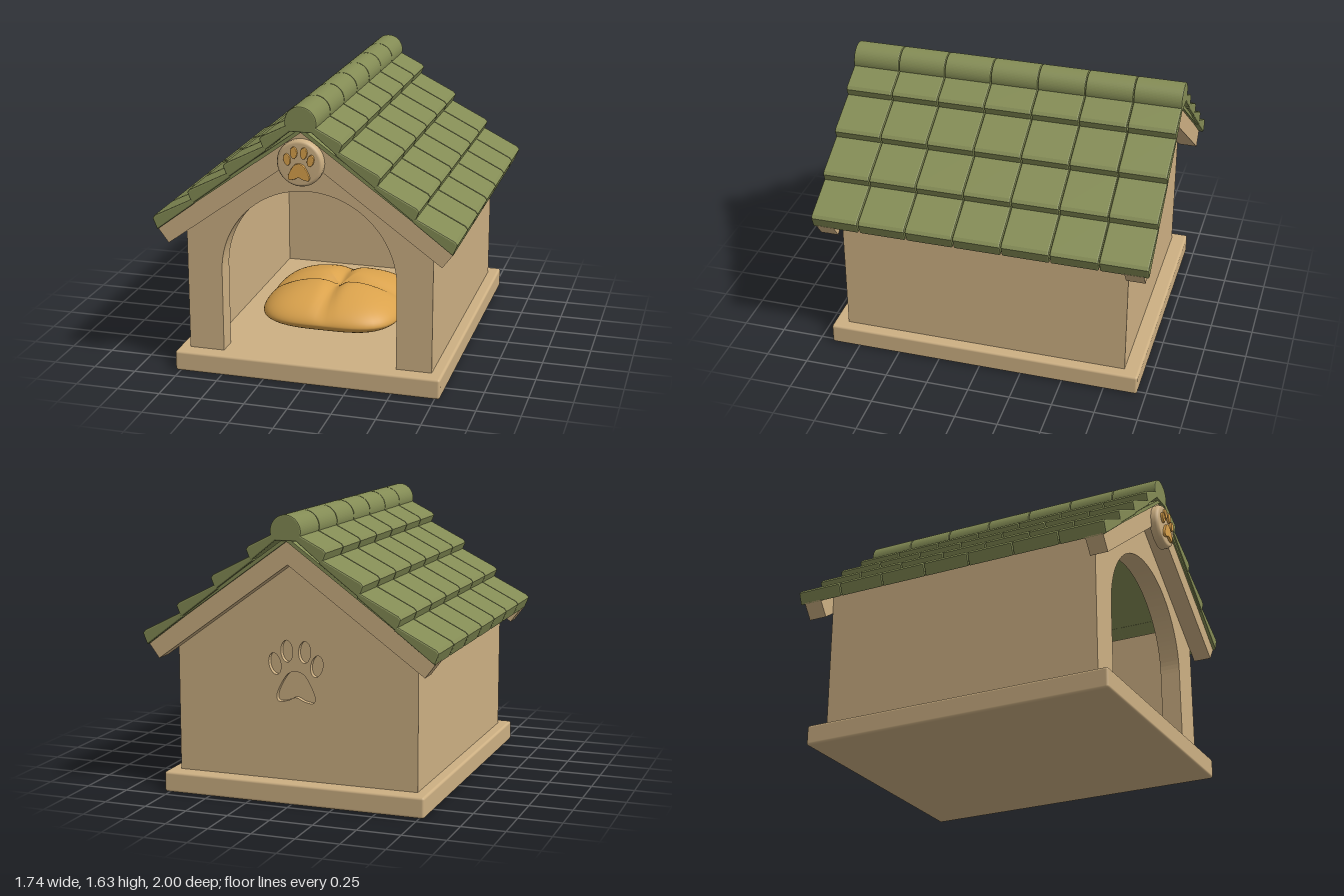
import * as THREE from 'three';
import { mergeVertices } from 'three/addons/utils/BufferGeometryUtils.js';
import { RoundedBoxGeometry } from 'three/addons/geometries/RoundedBoxGeometry.js';

const wood = new THREE.MeshStandardMaterial({ color: 0xcdb083 });
wood.name = 'wood';
const green = new THREE.MeshStandardMaterial({ color: 0x848c55 });
green.name = 'roof green';
const amber = new THREE.MeshStandardMaterial({ color: 0xdaa24c });
amber.name = 'amber';

const SLOPE = 0.725;

function add(parent, name, geometry, material) {
  const mesh = new THREE.Mesh(geometry, material);
  mesh.name = name;
  parent.add(mesh);
  return mesh;
}

function polygon(points) {
  return new THREE.Shape(points.map(([x, y]) => new THREE.Vector2(x, y)));
}

// Extrudes a front profile between two z values, bevelled inside its outline
function slab(shape, z0, z1, bevel = 0, curveSegments = 32) {
  const g = new THREE.ExtrudeGeometry(shape, {
    depth: z1 - z0 - 2 * bevel, curveSegments, bevelEnabled: bevel > 0,
    bevelThickness: bevel, bevelSize: bevel, bevelOffset: -bevel, bevelSegments: 2,
  });
  return g.translate(0, 0, z0 + bevel);
}

// Four toes and a pad, with the pad centre at (cx, cy)
function pawShapes(cx, cy, s) {
  const shapes = [[-0.125, 0.125, 0.2], [-0.053, 0.2, 0.05], [0.053, 0.2, -0.05], [0.125, 0.125, -0.2]]
    .map(([x, y, tilt]) => {
      const toe = new THREE.Shape();
      toe.absellipse(cx + x * s, cy + y * s, 0.036 * s, 0.062 * s, 0, Math.PI * 2, false, tilt);
      return toe;
    });
  const half = [[0.055, 0.065], [0.11, -0.035], [0.105, -0.085], [0.05, -0.08]];
  const loop = [[0, 0.09], ...half, [0, -0.06], ...half.slice().reverse().map(([x, y]) => [-x, y]), [0, 0.09]]
    .map(([x, y]) => new THREE.Vector2(cx + x * s, cy + y * s));
  const pad = new THREE.Shape();
  pad.moveTo(loop[0].x, loop[0].y);
  pad.splineThru(loop.slice(1));
  shapes.push(pad);
  return shapes;
}

function gable() {
  const w = 0.715, top = 1.47;
  return polygon([[-w, 0.12], [w, 0.12], [w, top - SLOPE * w], [0, top], [-w, top - SLOPE * w]]);
}

// Soft square cushion with a creased, tufted top
function cushionGeometry() {
  let g = new THREE.SphereGeometry(1, 72, 48);
  g.deleteAttribute('uv');
  g.deleteAttribute('normal');
  g = mergeVertices(g, 1e-4);
  const p = g.attributes.position;
  for (let i = 0; i < p.count; i++) {
    const x = p.getX(i), y = p.getY(i), z = p.getZ(i);
    const r = Math.hypot(x, z);
    // Superellipse plan; the poles stay on the axis
    const f = r < 1e-5 ? 0 : r / Math.pow(Math.abs(x) ** 3.5 + Math.abs(z) ** 3.5, 1 / 3.5);
    const px = x * f * 0.42, pz = z * f * 0.43;
    let py = Math.sign(y) * Math.pow(Math.abs(y), 1.15) * (y > 0 ? 0.165 : 0.11);
    if (y > 0) {
      const crease = Math.max(Math.exp(-((px / 0.045) ** 2)), Math.exp(-((pz / 0.045) ** 2)));
      py -= y * (0.03 * crease + 0.03 * Math.exp(-(px * px + pz * pz) / 0.008));
    }
    p.setXYZ(i, px, py, pz);
  }
  g.computeVertexNormals();
  return g;
}

export function createModel() {
  const model = new THREE.Group();
  model.name = 'petHouse';

  // Base board
  add(model, 'base', new RoundedBoxGeometry(1.56, 0.12, 1.87, 2, 0.015), wood).position.set(0, 0.06, -0.015);

  // Front wall with arched doorway
  const w = 0.715, eave = 1.47 - SLOPE * w, r = 0.51;
  const front = new THREE.Shape();
  front.moveTo(-w, 0.12);
  front.lineTo(-r, 0.12);
  front.lineTo(-r, 0.61);
  front.absarc(0, 0.61, r, Math.PI, 0, true);
  front.lineTo(r, 0.12);
  front.lineTo(w, 0.12);
  front.lineTo(w, eave);
  front.lineTo(0, 1.47);
  front.lineTo(-w, eave);
  add(model, 'frontWall', slab(front, 0.715, 0.835), wood);

  // Back wall with an engraved paw
  add(model, 'backWall', slab(gable(), -0.83, -0.76), wood);
  const engraved = gable();
  engraved.holes.push(...pawShapes(0, 0.655, 1));
  add(model, 'engravedBackPanel', slab(engraved, -0.86, -0.83, 0, 10), wood);

  for (const s of [-1, 1]) {
    // Side wall
    add(model, 'sideWall', new THREE.BoxGeometry(0.1, eave - 0.12, 1.475), wood)
      .position.set(s * (w - 0.05), (eave + 0.12) / 2, -0.0225);

    // Gable boards, front and back
    const board = polygon([[0, 1.355], [s * 0.785, 0.786], [s * 0.848, 0.87], [0, 1.485]]);
    add(model, 'frontGableBoard', slab(board, 0.835, 0.94), wood);
    add(model, 'backGableBoard', slab(board, -0.97, -0.86), wood);

    // Thin roof deck
    const deck = polygon([[0, 1.485], [s * 0.835, 0.88], [s * 0.845, 0.897], [0, 1.51]]);
    add(model, 'roofDeck', slab(deck, -0.985, 0.95), green);
  }

  // Overlapping wedge tiles, four rows a side and seven columns
  const columns = 7, pitch = 0.28, gap = 0.002;
  for (let c = 0; c < columns; c++) {
    const z0 = -1 + c * pitch + (c ? gap : 0);
    const z1 = -1 + (c + 1) * pitch - (c < columns - 1 ? gap : 0);
    for (const s of [-1, 1]) {
      for (let row = 0; row < 4; row++) {
        const dx = -row * 0.2125, dy = row * 0.168;
        const last = row === 3;
        const profile = [[0.845, 0.865], [0.872, 0.93], [0.858, 0.948],
          last ? [0.69, 1.032] : [0.62, 1.068], last ? [0.69, 0.99] : [0.62, 1.035]];
        const tile = polygon(profile.map(([x, y]) => [s * (x + dx), y + dy]));
        add(model, 'roofTile', slab(tile, z0, z1, 0.009), green);
      }
    }
    // Ridge cap segment with a notched underside
    const cap = new THREE.Shape();
    cap.moveTo(0, 1.548);
    cap.absarc(0, 1.541, 0.09, -0.62, Math.PI + 0.62, false);
    add(model, 'ridgeCap', slab(cap, z0, z1, 0.006, 24), green);
  }

  // Round badge with a raised paw
  const rim = [[0.131, 0.93], [0.131, 0.965], [0.124, 0.979], [0.112, 0.985], [0, 0.985]];
  const disc = new THREE.LatheGeometry(rim.map(([x, y]) => new THREE.Vector2(x, y)), 48);
  add(model, 'badge', disc.rotateX(Math.PI / 2), wood).position.y = 1.32;
  for (const shape of pawShapes(0, 1.277, 0.53)) {
    add(model, 'badgePaw', slab(shape, 0.98, 1, 0.004, 10), amber);
  }

  // Cushion
  add(model, 'cushion', cushionGeometry(), amber).position.set(0, 0.237, 0.18);

  return model;
}
